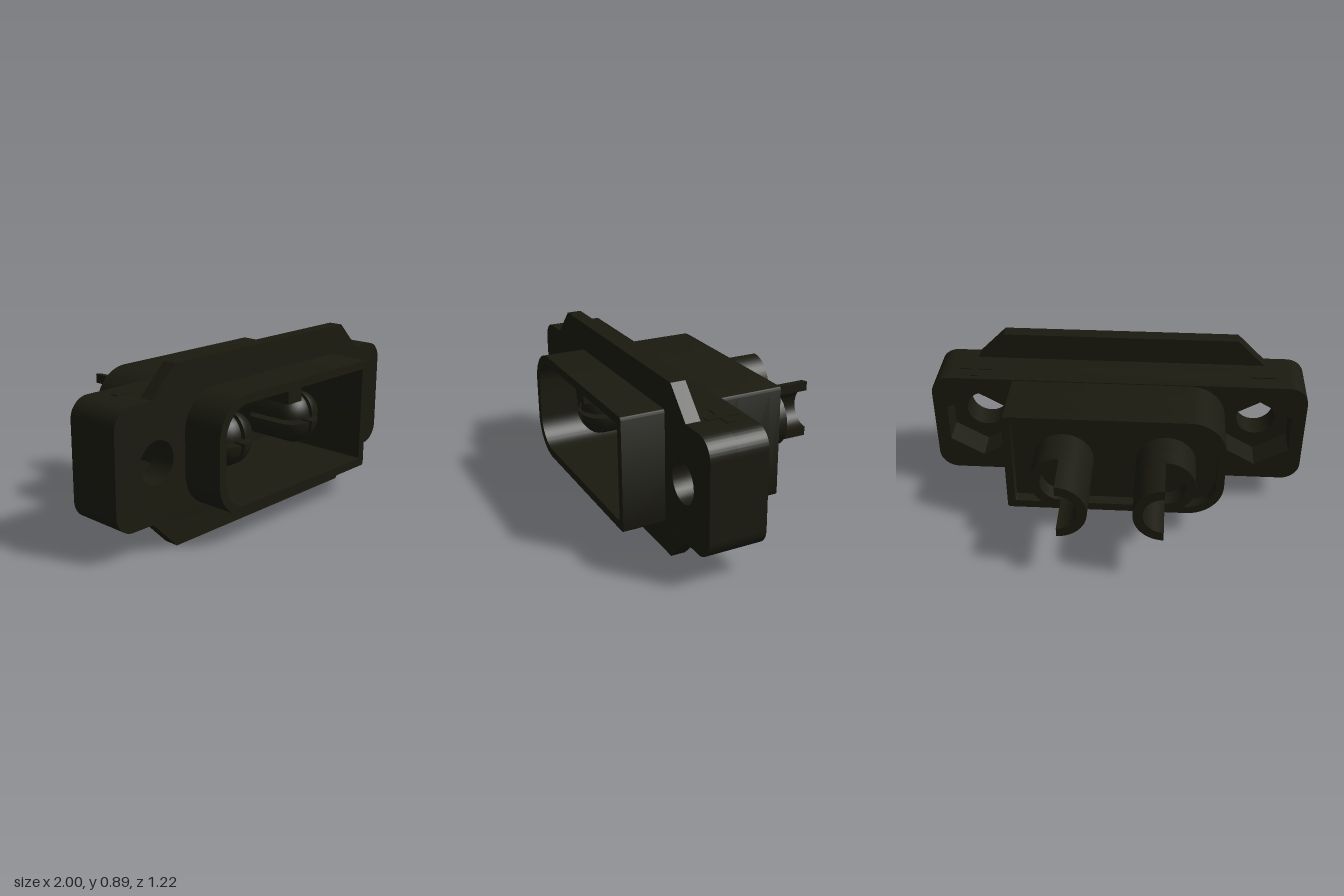
import * as THREE from 'three';
import { toCreasedNormals } from 'three/addons/utils/BufferGeometryUtils.js';

const CY = 0.445; // height of the pin and screw axis
const material = new THREE.MeshStandardMaterial({ color: 0x1a1a10, side: THREE.DoubleSide });

function add(parent, name, geometry) {
  const mesh = new THREE.Mesh(geometry, material);
  mesh.name = name;
  parent.add(mesh);
  return mesh;
}

// Extrude a shape between two z positions, keeping hard edges sharp
function slab(shape, z0, z1) {
  const g = new THREE.ExtrudeGeometry(shape, { depth: z1 - z0, bevelEnabled: false, curveSegments: 12 });
  g.translate(0, 0, z0);
  return toCreasedNormals(g, 0.6);
}

// Rectangle with separate corner radii on the -x and +x ends
function roundedRect(x0, x1, y0, y1, rl, rr, Type = THREE.Shape) {
  const s = new Type();
  s.moveTo(x0 + rl, y0);
  s.lineTo(x1 - rr, y0);
  s.absarc(x1 - rr, y0 + rr, rr, -Math.PI / 2, 0);
  s.lineTo(x1, y1 - rr);
  s.absarc(x1 - rr, y1 - rr, rr, 0, Math.PI / 2);
  s.lineTo(x0 + rl, y1);
  s.absarc(x0 + rl, y1 - rl, rl, Math.PI / 2, Math.PI);
  s.lineTo(x0, y0 + rl);
  s.absarc(x0 + rl, y0 + rl, rl, Math.PI, Math.PI * 1.5);
  return s;
}

const bodyShape = () => roundedRect(-0.57, 0.57, 0.152, 0.735, 0.19, 0.015);
const cavity = () => roundedRect(-0.528, 0.528, 0.196, 0.691, 0.15, 0.01, THREE.Path);

function circle(x, y, r, Type = THREE.Path) {
  const p = new Type();
  p.absarc(x, y, r, 0, Math.PI * 2);
  return p;
}

function hexagon(x, y, r) {
  const pts = [];
  for (let i = 0; i < 6; i++) {
    const a = Math.PI / 2 + i * Math.PI / 3;
    pts.push(new THREE.Vector2(x + r * Math.cos(a), y + r * Math.sin(a)));
  }
  return new THREE.Path(pts);
}

// Flange layer: rounded ears, body opening and a pair of mounting holes
function flange(makeHole) {
  const s = roundedRect(-1, 1, 0.15, 0.74, 0.1, 0.1);
  s.holes.push(cavity(), makeHole(-0.75), makeHole(0.75));
  return s;
}

// Split contact with a domed tip: four quarter prongs separated by a cross slot
function contactPin(x) {
  const pin = new THREE.Group();
  pin.name = 'contactPin';
  const gap = 0.012, r = 0.122;
  const base = new THREE.CylinderGeometry(0.134, 0.134, 0.2, 32);
  base.translate(0, 0.08, 0);
  add(pin, 'pinBase', base);
  const profile = [new THREE.Vector2(0, 0.15), new THREE.Vector2(r, 0.15)];
  for (let i = 0; i <= 8; i++) {
    const a = i / 8 * Math.PI / 2;
    profile.push(new THREE.Vector2(r * Math.cos(a), 0.38 + 0.1 * Math.sin(a)));
  }
  for (let i = 0; i < 4; i++) {
    const prong = new THREE.Group();
    prong.name = 'prong';
    const side = new THREE.ShapeGeometry(new THREE.Shape(profile));
    const skin = new THREE.LatheGeometry(profile, 10, 0, Math.PI / 2);
    for (const [name, g] of [['prongSkin', skin], ['slotFace', side], ['slotFace', side.clone().rotateY(-Math.PI / 2)]]) {
      g.translate(gap, 0, gap);
      add(prong, name, g);
    }
    prong.rotation.y = i * Math.PI / 2;
    pin.add(prong);
  }
  pin.rotation.x = Math.PI / 2;
  pin.position.set(x, CY, 0);
  return pin;
}

// Solder terminal: bored barrel ending in a half cup that opens outwards
function solderCup(side) {
  const cup = new THREE.Group();
  cup.name = 'solderCup';
  add(cup, 'barrelRoot', slab(circle(0, 0, 0.155, THREE.Shape), -0.3, -0.17));
  const ring = circle(0, 0, 0.155, THREE.Shape);
  ring.holes.push(circle(0, 0, 0.105));
  add(cup, 'barrel', slab(ring, -0.39, -0.3));
  const a = side > 0 ? Math.PI / 2 : -Math.PI / 2;
  const half = new THREE.Shape();
  half.absarc(0, 0, 0.155, a, a + Math.PI);
  half.absarc(0, 0, 0.105, a + Math.PI, a, true);
  add(cup, 'halfCup', slab(half, -0.61, -0.39));
  cup.position.set(side * 0.265, CY, 0);
  return cup;
}

export function createModel() {
  const model = new THREE.Group();
  model.name = 'panelConnector';

  // Housing: open shroud, solid middle and a shallow rim at the back
  const wall = bodyShape();
  wall.holes.push(cavity());
  add(model, 'shroud', slab(wall, 0, 0.61));
  add(model, 'bodyCore', slab(bodyShape(), -0.18, 0));
  add(model, 'rearRim', slab(wall, -0.24, -0.18));

  // Mounting flange with screw holes in front and nut pockets behind
  add(model, 'flangeFront', slab(flange(x => circle(x, CY, 0.105)), 0.25, 0.39));
  add(model, 'flangeRear', slab(flange(x => hexagon(x, CY, 0.205)), 0.095, 0.25));

  // Tapered face plate lips above and below the flange
  for (const s of [1, -1]) {
    const pts = [[-0.78, 0.293], [-0.63, 0.443], [0.63, 0.443], [0.78, 0.293]];
    const lip = new THREE.Shape(pts.map(([x, y]) => new THREE.Vector2(x, 0.4425 + s * y)));
    add(model, s > 0 ? 'upperLip' : 'lowerLip', slab(lip, 0.315, 0.39));
  }

  // Keying rib under the roof of the shroud
  const rib = new THREE.BoxGeometry(0.1, 0.085, 0.58);
  rib.translate(0, 0.6525, 0.29);
  add(model, 'keyRib', rib);

  // Raised polarity ridges on top of the ears
  for (const [x, w, d] of [[0.77, 0.17, 0.04], [0.77, 0.04, 0.17], [-0.77, 0.13, 0.04]]) {
    const ridge = new THREE.BoxGeometry(w, 0.02, d);
    ridge.translate(x, 0.736, 0.205);
    add(model, 'polarityRidge', ridge);
  }

  for (const s of [1, -1]) model.add(contactPin(s * 0.265), solderCup(s));
  return model;
}
